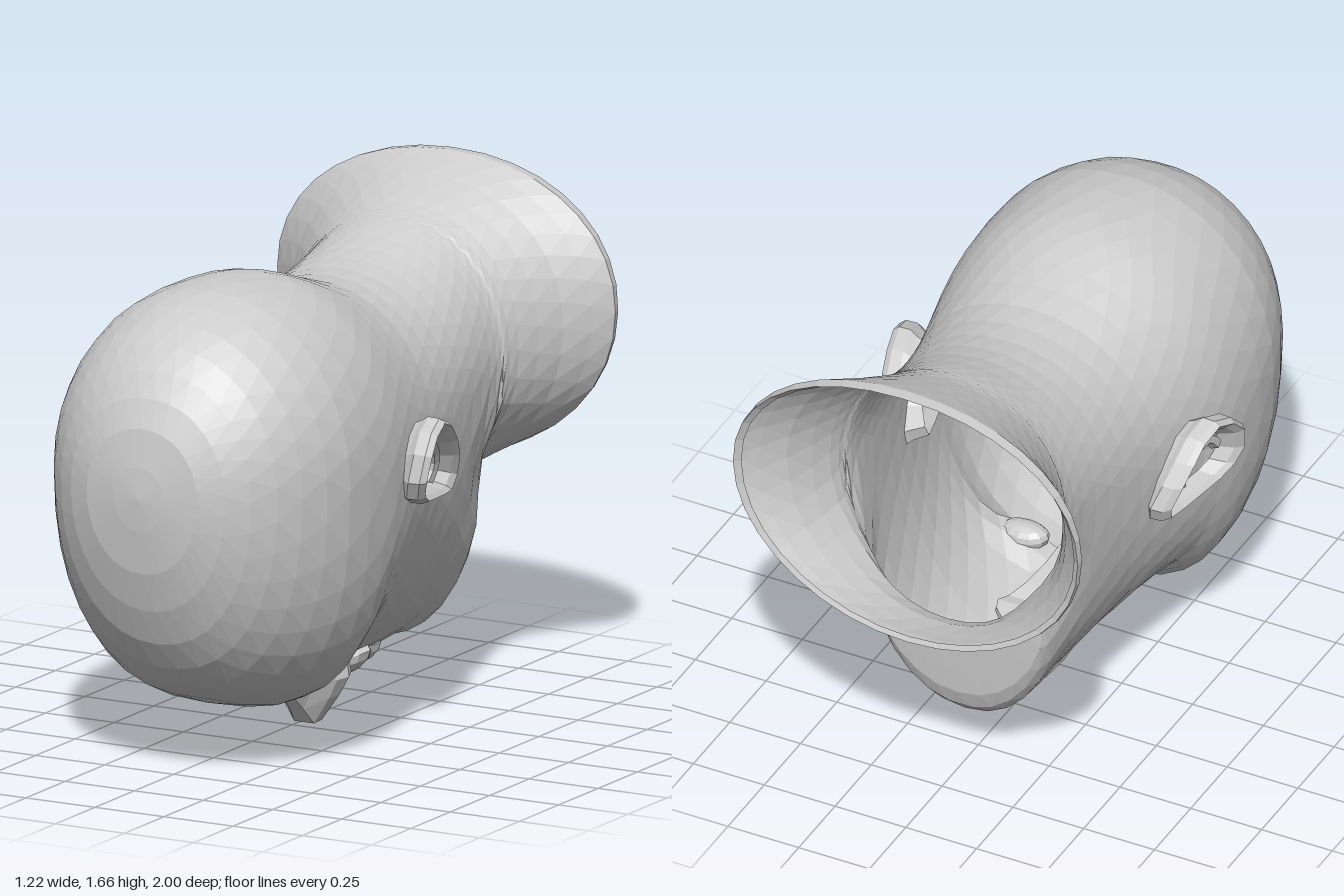
import * as THREE from 'three';

const skin = new THREE.MeshStandardMaterial({ color: 0xcccccc, flatShading: true, side: THREE.DoubleSide });

// Skins a list of closed rings of [x, y, z] points, turning the diagonals on every other row.
function loft(name, rings) {
  const n = rings[0].length, index = [];
  for (let i = 0; i < rings.length - 1; i++) {
    for (let j = 0; j < n; j++) {
      const k = (j + 1) % n;
      const a = i * n + j, b = i * n + k, c = a + n, d = b + n;
      if (i % 2) index.push(a, c, d, a, d, b);
      else index.push(a, c, b, b, c, d);
    }
  }
  const geometry = new THREE.BufferGeometry();
  geometry.setAttribute('position', new THREE.Float32BufferAttribute(rings.flat(2), 3));
  geometry.setIndex(index);
  geometry.computeVertexNormals();
  const mesh = new THREE.Mesh(geometry, skin);
  mesh.name = name;
  return mesh;
}

// Adds a smoothly interpolated row halfway between each pair of rows
function refine(rows) {
  const last = rows.length - 1;
  return rows.flatMap((row, i) => {
    if (i === last) return [row];
    const before = rows[Math.max(0, i - 1)], next = rows[i + 1], after = rows[Math.min(last, i + 2)];
    return [row, row.map((v, k) => (9 * (v + next[k]) - before[k] - after[k]) / 16)];
  });
}

const power = (v, p) => Math.sign(v) * Math.abs(v) ** p;
const bump = (u, v, su, sv) => Math.exp(-((u / su) ** 2) - (v / sv) ** 2);

// Skull, jaw and neck: z, top y, bottom y, half width, y of widest point
const HEAD = refine([
  [1, 0.95, 0.95, 0, 0.95],
  [0.97, 1.17, 0.7, 0.2, 0.95],
  [0.88, 1.34, 0.455, 0.345, 0.95],
  [0.74, 1.46, 0.29, 0.45, 0.95],
  [0.55, 1.53, 0.195, 0.515, 0.94],
  [0.34, 1.54, 0.16, 0.523, 0.92],
  [0.21, 1.525, 0.24, 0.51, 0.92],
  [0.08, 1.485, 0.25, 0.485, 0.92],
  [-0.1, 1.43, 0.21, 0.445, 0.95],
  [-0.28, 1.425, 0.18, 0.415, 0.99],
  [-0.44, 1.455, 0.2, 0.395, 1.03],
  [-0.57, 1.5, 0.19, 0.387, 1.05],
  [-0.63, 1.52, 0.29, 0.39, 1.07],
  [-0.645, 1.525, 0.48, 0.397, 1.08],
  [-0.7, 1.545, 0.62, 0.412, 1.12],
  [-0.84, 1.61, 0.67, 0.492, 1.17],
  [-0.96, 1.665, 0.7, 0.612, 1.21],
]);

function headRing([z, top, bottom, half, mid], row) {
  const ring = [], n = 36;
  // Full under the forehead and at the chin
  const lower = 1 - 0.23 * bump(z - 0.42, 0, 0.42, 1) - 0.1 * bump(z + 0.5, 0, 0.22, 1);
  for (let j = 0; j < n; j++) {
    const t = ((j + (row % 2) / 2) / n) * Math.PI * 2, s = Math.sin(t);
    const q = s < 0 ? lower : 0.95;
    let x = half * power(Math.cos(t), q);
    let y = mid + (s < 0 ? mid - bottom : top - mid) * power(s, q);
    // Hollow between the jaw and the neck
    x *= 1 - 0.14 * bump(z + 0.64, y - 0.74, 0.13, 0.16);
    // Eye sockets and cheek hollows on the downward-facing face
    if (s < -0.4) {
      y += 0.08 * bump(Math.abs(x) - 0.18, z - 0.2, 0.11, 0.07);
      y += 0.02 * bump(Math.abs(x) - 0.2, z + 0.25, 0.1, 0.12);
    }
    ring.push([x + 0.01, y, z]);
  }
  return ring;
}

// Neck opening gets a narrow lip that turns inwards
function neckLip() {
  const outer = headRing(HEAD[HEAD.length - 1], HEAD.length - 1);
  const lip = (scale, back) => outer.map(([x, y, z]) =>
    [x * scale, 1.2 + (y - 1.2) * scale, z - back * (0.4 + Math.max(0, (y - 0.9) / 0.8))]);
  return [outer, lip(0.995, 0.03), lip(0.96, 0.01)];
}

// Nose: z, tip y, half width, height of the sides
const NOSE = [
  [0.25, 0.23, 0.04, 0.1],
  [0.17, 0.205, 0.05, 0.12],
  [0.08, 0.135, 0.06, 0.17],
  [0, 0.06, 0.085, 0.22],
  [-0.05, 0.005, 0.12, 0.25],
  [-0.09, 0.01, 0.14, 0.25],
  [-0.12, 0.05, 0.13, 0.2],
  [-0.15, 0.11, 0.09, 0.13],
  [-0.14, 0.16, 0.01, 0.05],
];
const NOSE_OUTLINE = [[0, 1], [-0.9, 1], [-1, 0.6], [-0.75, 0.35], [-0.3, 0], [0.3, 0], [0.75, 0.35], [1, 0.6], [0.9, 1]];
const noseRing = ([z, tip, half, rise]) => NOSE_OUTLINE.map(([u, v]) => [0.015 + u * half, tip + v * rise, z]);

// Squashed ball bent to follow the curve of the face
function bentBall(name, size, position, bend) {
  const geometry = new THREE.SphereGeometry(1, 12, 8).scale(...size);
  const p = geometry.attributes.position;
  for (let i = 0; i < p.count; i++) p.setY(i, p.getY(i) + bend * p.getX(i) ** 2);
  geometry.computeVertexNormals();
  const mesh = new THREE.Mesh(geometry, skin);
  mesh.name = name;
  mesh.position.set(...position);
  return mesh;
}

// Ear outline as [z, y] around its centre
const EAR = [
  [0.03, 0.16], [0.11, 0.13], [0.17, 0.07], [0.19, -0.02], [0.16, -0.08], [0.09, -0.11], [0, -0.12],
  [-0.1, -0.13], [-0.17, -0.13], [-0.19, -0.08], [-0.16, 0], [-0.11, 0.07], [-0.05, 0.13],
];
// Scale of the outline and sideways offset: back, rolled rim, hollow
const EAR_STEPS = [[0.75, -0.09], [0.9, -0.035], [1, -0.01], [0.99, 0.03], [0.9, 0.05], [0.78, 0.03], [0.66, -0.02], [0.3, -0.045], [0.02, -0.04]];
const EAR_FOLD = [[0.1, 0.02], [0.05, 0.07], [-0.02, 0.05], [-0.06, -0.02], [-0.04, -0.07]];

function ear(name, side) {
  const group = new THREE.Group();
  group.name = name;
  const place = (u, v, d) => {
    const z = 0.03 + u, y = 0.92 + v;
    return [0.01 + side * (0.515 + 0.2 * z + d - 0.28 * Math.max(0, 0.95 - y)), y, z];
  };
  group.add(loft('earShell', EAR_STEPS.map(([k, d]) => EAR.map(([u, v]) => place(u * k, v * k, d)))));
  // Inner fold of the ear
  const path = EAR_FOLD.map(([u, v]) => new THREE.Vector3(...place(u, v, -0.015)));
  const fold = new THREE.Mesh(new THREE.TubeGeometry(new THREE.CatmullRomCurve3(path), 8, 0.022, 5), skin);
  fold.name = 'earFold';
  group.add(fold);
  return group;
}

export function createModel() {
  const model = new THREE.Group();
  model.name = 'headLyingFaceDown';
  model.add(loft('headAndNeck', HEAD.map(headRing)), loft('neckLip', neckLip()));

  // Face
  model.add(loft('nose', NOSE.map(noseRing)));
  model.add(bentBall('upperLip', [0.14, 0.06, 0.075], [0.01, 0.175, -0.235], 2));
  model.add(bentBall('lowerLip', [0.12, 0.055, 0.06], [0.01, 0.187, -0.335], 2));
  for (const [label, side] of [['left', 1], ['right', -1]]) {
    model.add(bentBall(label + 'Eye', [0.085, 0.045, 0.055], [0.01 + side * 0.18, 0.315, 0.19], 1));
    model.add(ear(label + 'Ear', side));
  }
  return model;
}
